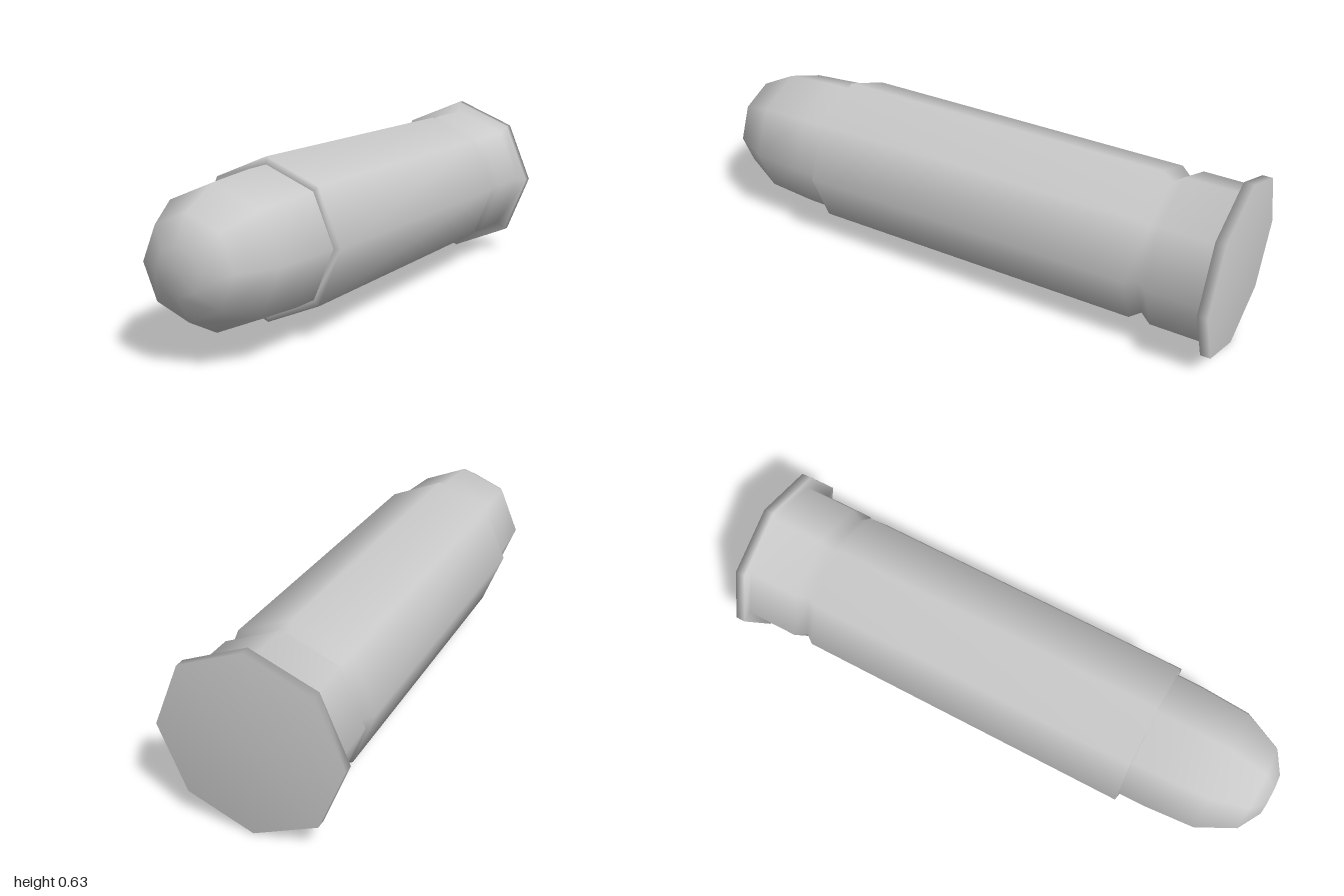
import * as THREE from 'three';

const SIDES = 8;
const CENTER_Y = 0.315;

// Lathed part lying along z; profile is a list of [radius, z] from back to front
function lathePart(name, profile, material) {
  const points = profile.map(([r, z]) => new THREE.Vector2(r, z));
  const geometry = new THREE.LatheGeometry(points, SIDES);
  geometry.rotateX(Math.PI / 2);
  geometry.translate(0, CENTER_Y, 0);
  const mesh = new THREE.Mesh(geometry, material);
  mesh.name = name;
  return mesh;
}

export function createModel() {
  const group = new THREE.Group();
  group.name = 'cartridge';
  const material = new THREE.MeshStandardMaterial({ color: 0xcccccc });

  // Casing: flat base, flange, extractor groove, long body and mouth step
  group.add(lathePart('casing', [
    [0, -1],
    [0.314, -1],
    [0.314, -0.965],
    [0.273, -0.965],
    [0.273, -0.775],
    [0.245, -0.737],
    [0.273, -0.7],
    [0.273, 0.533],
    [0.247, 0.533],
  ], material));

  // Bullet: short straight neck, then a blunt rounded nose
  group.add(lathePart('bullet', [
    [0.247, 0.533],
    [0.246, 0.63],
    [0.233, 0.815],
    [0.165, 0.95],
    [0.08, 1],
    [0, 1],
  ], material));

  return group;
}
